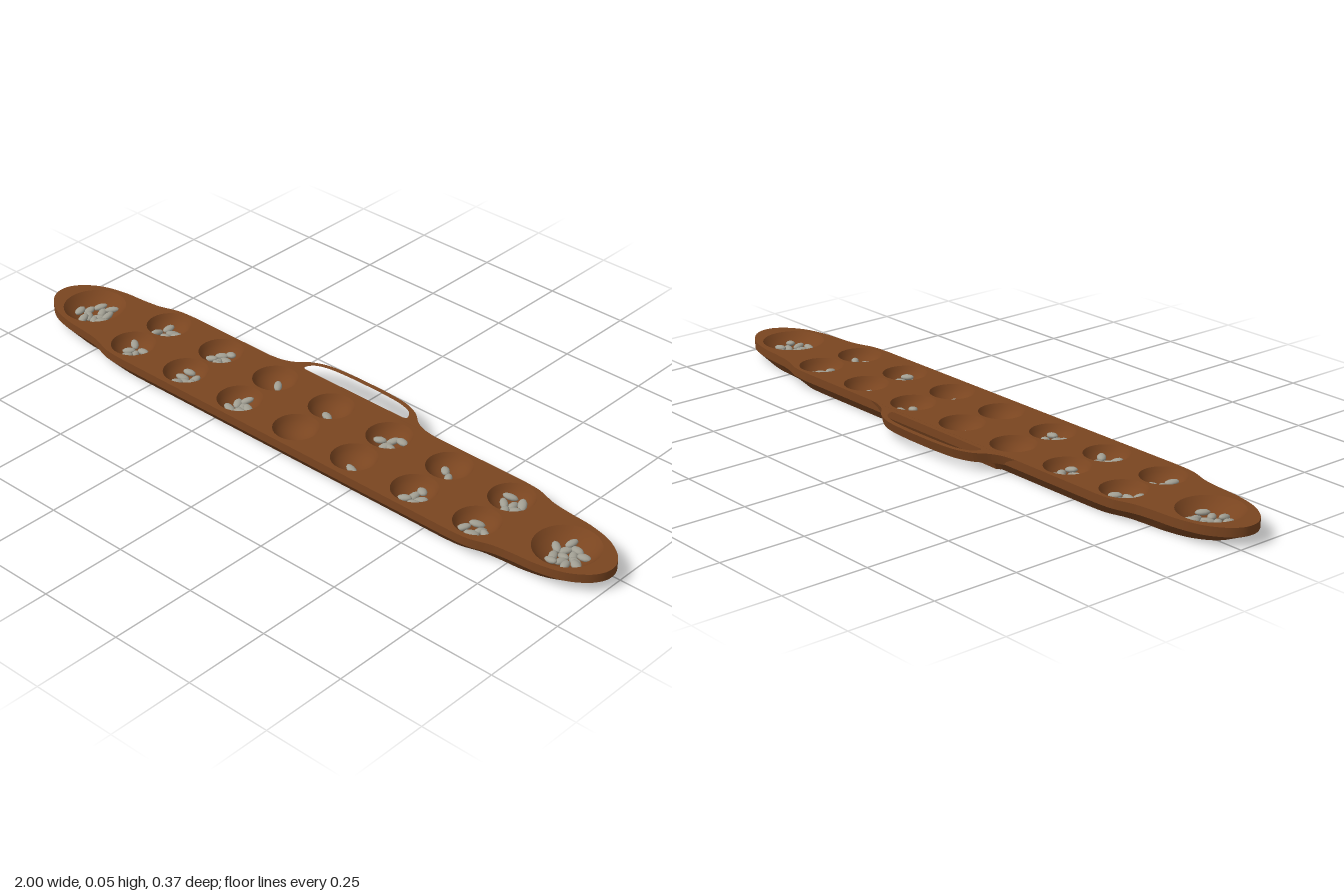
import * as THREE from 'three';

const TOP = 0.055, EDGE = 0.03, MID = 0.0375;
const V2 = (x, y) => new THREE.Vector2(x, y);

// Board outline as [x, z offset from the centre line], right half mirrored to the left
function boardOutline() {
  const q = [[0.6, 0.148], [0.66, 0.143], [0.72, 0.124], [0.78, 0.116], [0.85, 0.11], [0.92, 0.092], [0.97, 0.06], [0.994, 0.028]];
  const pts = [...q.map(([x, z]) => V2(x, -z)), V2(1, 0), ...q.slice().reverse().map(([x, z]) => V2(x, z))];
  const right = new THREE.SplineCurve(pts).getPoints(64);
  return [...right, ...right.slice().reverse().map(p => V2(-p.x, p.y))];
}

// Wall between two rings of equal point count
function band(lower, upper, y0, y1) {
  const n = lower.length, pos = [], idx = [];
  for (const [ring, y] of [[lower, y0], [upper, y1]]) for (const p of ring) pos.push(p.x, y, p.y + MID);
  for (let i = 0; i < n; i++) {
    const j = (i + 1) % n;
    idx.push(i, n + i, j, j, n + i, n + j);
  }
  const g = new THREE.BufferGeometry();
  g.setAttribute('position', new THREE.Float32BufferAttribute(pos, 3));
  g.setIndex(idx);
  g.computeVertexNormals();
  return g;
}

export function createModel() {
  const model = new THREE.Group();
  model.name = 'pitAndSeedBoard';
  const wood = new THREE.MeshStandardMaterial({ color: 0x7a4520 });
  wood.name = 'brown wood';
  const stone = new THREE.MeshStandardMaterial({ color: 0xa09e92 });
  stone.name = 'grey seed';
  const add = (name, geo, mat = wood, parent = model) => {
    const m = new THREE.Mesh(geo, mat);
    m.name = name;
    parent.add(m);
    return m;
  };

  // Pits: two rows of seven and a large store at each end, with seed counts
  const pits = [
    { x: -0.86, z: MID, r: 0.09, d: 0.045, seeds: 11 },
    { x: 0.86, z: MID, r: 0.09, d: 0.045, seeds: 13 },
  ];
  const counts = [[5, 7, 1, 1, 5, 2, 6], [5, 6, 7, 0, 1, 5, 5]];
  counts.forEach((row, k) => row.forEach((seeds, i) =>
    pits.push({ x: (i - 3) * 0.209, z: k ? 0.105 : -0.034, r: 0.064, d: 0.042, seeds })));

  // Board: pierced top, upright rim, sloping underside and flat base
  const outline = boardOutline();
  const base = outline.map(p => V2(p.x * 0.935, p.y * 0.84));
  const topShape = new THREE.Shape(outline.map(p => V2(p.x, -(p.y + MID))));
  for (const p of pits) {
    const hole = new THREE.Path();
    hole.absarc(p.x, -p.z, p.r, 0, Math.PI * 2);
    topShape.holes.push(hole);
  }
  add('boardTop', new THREE.ShapeGeometry(topShape, 16).rotateX(-Math.PI / 2).translate(0, TOP, 0));
  add('boardRim', band(outline, outline, EDGE, TOP));
  add('boardSlope', band(base, outline, 0, EDGE));
  add('boardBase', new THREE.ShapeGeometry(new THREE.Shape(base.map(p => V2(p.x, p.y + MID)))).rotateX(Math.PI / 2));

  // Handle: arched loop with a slot, its lower edge drawn in a little
  const mirrorX = a => [...a, ...a.slice(0, -1).reverse().map(([x, y]) => [-x, y])];
  const spline = a => new THREE.SplineCurve(mirrorX(a).map(([x, y]) => V2(x, y))).getPoints(56);
  const handle = new THREE.Shape(spline([[-0.3, 0.111], [-0.26, 0.117], [-0.225, 0.133], [-0.19, 0.162], [-0.14, 0.181], [-0.07, 0.188], [0, 0.189]]));
  handle.holes.push(new THREE.Path(spline([[-0.178, 0.123], [-0.188, 0.131], [-0.172, 0.155], [-0.13, 0.169], [-0.07, 0.174], [0, 0.175]])));
  const handleGeo = new THREE.ExtrudeGeometry(handle, { depth: TOP - 0.028, bevelEnabled: false })
    .rotateX(-Math.PI / 2).translate(0, 0.028, 0);
  const hp = handleGeo.attributes.position;
  for (let i = 0; i < hp.count; i++) {
    if (hp.getY(i) < 0.04) hp.setZ(i, hp.getZ(i) + 0.008);
  }
  handleGeo.computeVertexNormals();
  add('handle', handleGeo);

  // Rounded ledge joining the handle to the underside
  const ledge = new THREE.Shape([[-0.06, 0.004], [-0.095, 0.004], [-0.112, 0.009], [-0.117, 0.022], [-0.121, 0.03], [-0.121, 0.053], [-0.06, 0.053]]
    .map(([z, y]) => V2(z, y)));
  // Kept behind the pits by trimming its inner side
  const ledgeGeo = new THREE.ExtrudeGeometry(ledge, { depth: 0.46, bevelEnabled: false })
    .rotateY(-Math.PI / 2).translate(0.23, 0, 0);
  const lp = ledgeGeo.attributes.position;
  for (let i = 0; i < lp.count; i++) if (lp.getZ(i) > -0.07) lp.setZ(i, lp.getY(i) > 0.02 ? -0.103 : -0.08);
  ledgeGeo.computeVertexNormals();
  add('handleLedge', ledgeGeo);

  // Bowls and their seeds
  const seedGeo = new THREE.SphereGeometry(1, 10, 8);
  let state = 7;
  const rand = () => (state = (state * 16807) % 2147483647) / 2147483647;
  for (const p of pits) {
    const pit = new THREE.Group();
    pit.name = p.r > 0.08 ? 'storePit' : 'smallPit';
    pit.position.set(p.x, TOP, p.z);
    model.add(pit);
    const R = (p.r * p.r + p.d * p.d) / (2 * p.d);
    const floorY = rho => R - p.d - Math.sqrt(R * R - rho * rho);
    const profile = [];
    for (let i = 10; i >= 0; i--) profile.push(V2(p.r * i / 10, floorY(p.r * i / 10)));
    add('bowl', new THREE.LatheGeometry(profile, 32), wood, pit);

    const spread = p.r > 0.08 ? 0.052 : 0.037;
    const turn = rand() * 6;
    for (let i = 0; i < p.seeds; i++) {
      const rho = spread * Math.sqrt((i + 0.4) / Math.max(p.seeds, 4));
      const a = turn + i * 2.4;
      const s = add('seed', seedGeo, stone, pit);
      s.scale.set(0.019 + rand() * 0.003, 0.008, 0.011 + rand() * 0.002);
      s.position.set(rho * Math.cos(a), floorY(rho) + 0.008, rho * Math.sin(a));
      s.rotation.set(0, rand() * Math.PI, (rand() - 0.5) * 0.5);
    }
  }
  return model;
}
